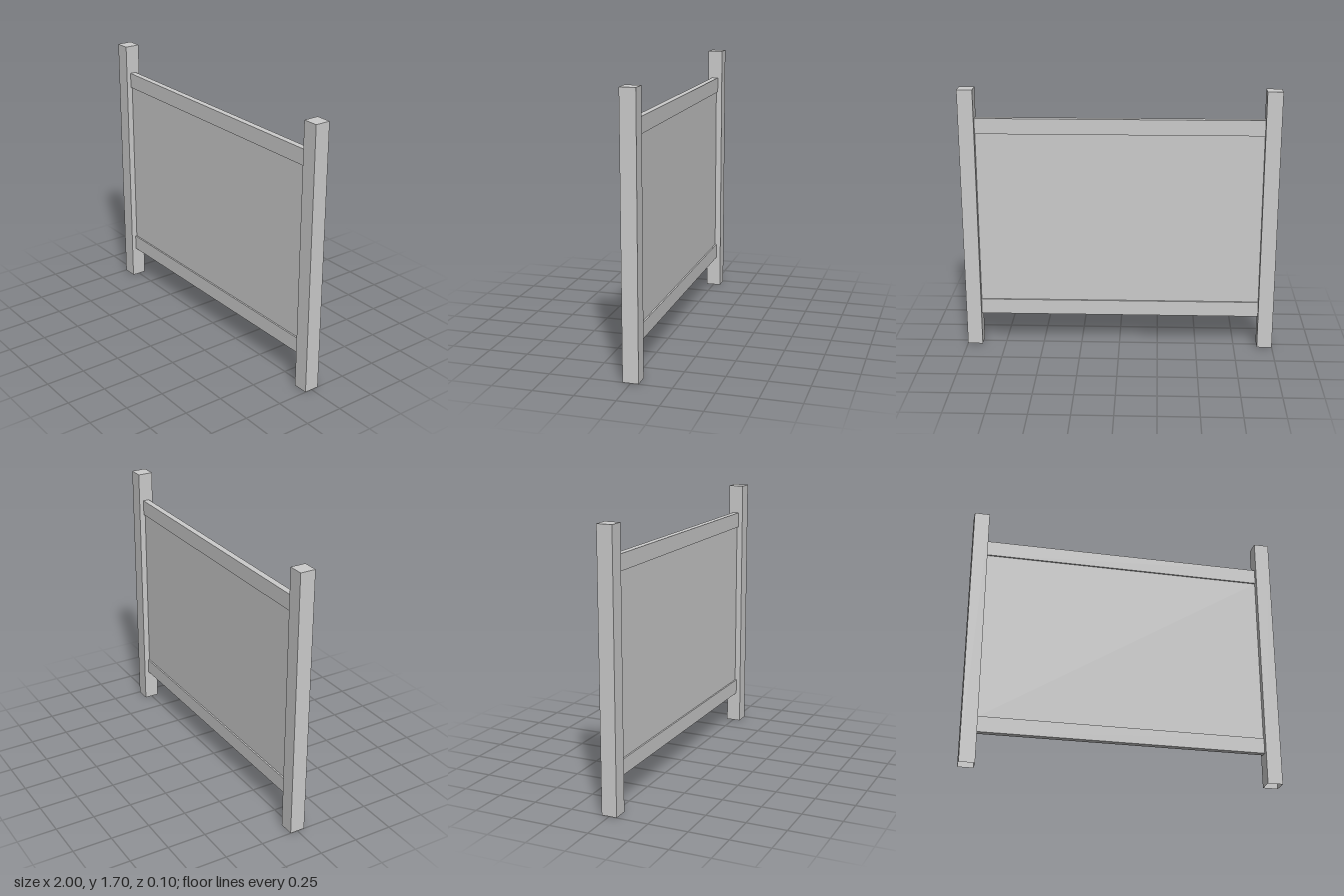
import * as THREE from 'three';

const POST = 0.097, HEIGHT = 1.702;
const RAIL = 0.099, RAIL_DEPTH = 0.04, PANEL_DEPTH = 0.02;
const SPAN = 2 - 2 * POST;

export function createModel() {
  const group = new THREE.Group();
  const material = new THREE.MeshStandardMaterial({ color: 0xcccccc, side: THREE.DoubleSide });

  const add = (name, geometry, x, y) => {
    const mesh = new THREE.Mesh(geometry, material);
    mesh.name = name;
    mesh.position.set(x, y, 0);
    group.add(mesh);
  };

  // Square hollow posts, capped on top and open at the foot
  const postGeometry = new THREE.BoxGeometry(POST, HEIGHT, POST);
  const faces = Array.from(postGeometry.index.array);
  faces.splice(18, 6); // bottom face
  postGeometry.setIndex(faces);
  postGeometry.clearGroups();
  add('leftPost', postGeometry, 1 - POST / 2, HEIGHT / 2);
  add('rightPost', postGeometry, -1 + POST / 2, HEIGHT / 2);

  // Horizontal rails between the posts
  const railGeometry = new THREE.BoxGeometry(SPAN, RAIL, RAIL_DEPTH);
  const bottomY = 0.256, topY = 1.467;
  add('bottomRail', railGeometry, 0, bottomY);
  add('topRail', railGeometry, 0, topY);

  // Thin panel held between the rails
  const panelHeight = topY - bottomY - RAIL;
  add('panel', new THREE.BoxGeometry(SPAN, panelHeight, PANEL_DEPTH), 0, (topY + bottomY) / 2);

  return group;
}
